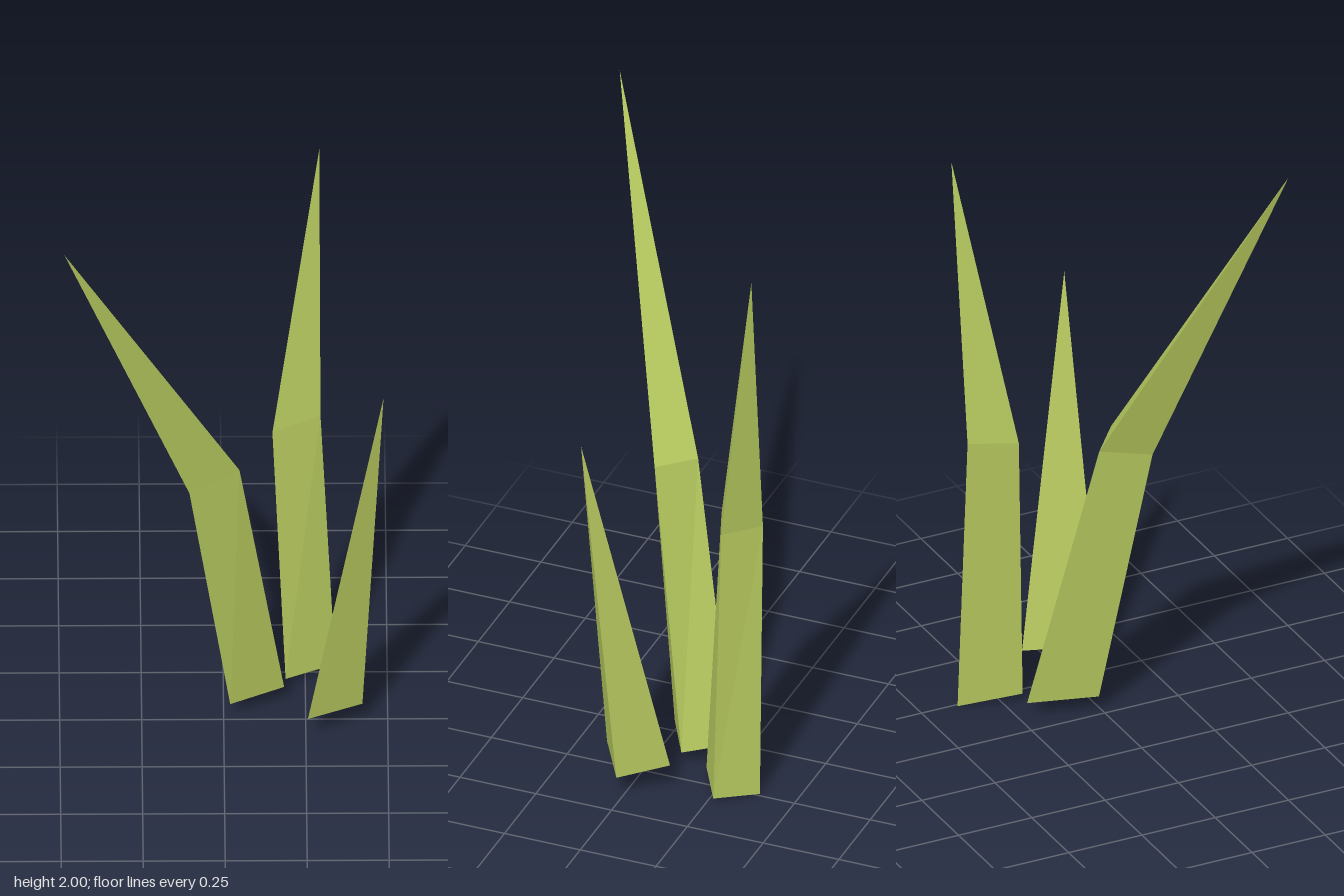
import * as THREE from 'three';

const material = new THREE.MeshStandardMaterial({
  color: 0xb8cb5f, flatShading: true, side: THREE.DoubleSide,
});

// Hollow three-sided blade: triangular rings from the base up, closing in a tip
function makeBlade(name, rings, tip) {
  const positions = [];
  const triangle = (...corners) => corners.forEach((c) => positions.push(...c));
  rings.forEach((ring, level) => {
    const above = rings[level + 1];
    for (let i = 0; i < 3; i++) {
      const j = (i + 1) % 3;
      if (above) {
        triangle(ring[i], ring[j], above[j]);
        triangle(ring[i], above[j], above[i]);
      } else {
        triangle(ring[i], ring[j], tip);
      }
    }
  });
  const geometry = new THREE.BufferGeometry();
  geometry.setAttribute('position', new THREE.Float32BufferAttribute(positions, 3));
  geometry.computeVertexNormals();
  const mesh = new THREE.Mesh(geometry, material);
  mesh.name = name;
  return mesh;
}

export function createModel() {
  const group = new THREE.Group();
  group.name = 'grassTuft';

  // Tall blade, bent towards the front right
  group.add(makeBlade('tallBlade', [
    [[0.02, 0.05, -0.01], [0.185, 0.05, -0.1], [0.08, 0.05, -0.225]],
    [[-0.105, 0.92, 0.11], [0.048, 0.96, 0.045], [-0.065, 0.95, -0.052]],
  ], [-0.488, 2, 0.382]));

  // Upright blade at the back, bent slightly
  group.add(makeBlade('backBlade', [
    [[0.19, 0.02, -0.185], [0.342, 0.015, -0.27], [0.24, 0, -0.382]],
    [[0.15, 0.915, -0.218], [0.297, 0.935, -0.278], [0.192, 0.93, -0.372]],
  ], [0.294, 1.86, -0.376]));

  // Short straight blade on the left
  group.add(makeBlade('shortBlade', [
    [[0.256, 0.082, 0.116], [0.423, 0.068, 0.016], [0.324, 0.088, -0.12]],
  ], [0.487, 1.27, 0.106]));

  return group;
}
